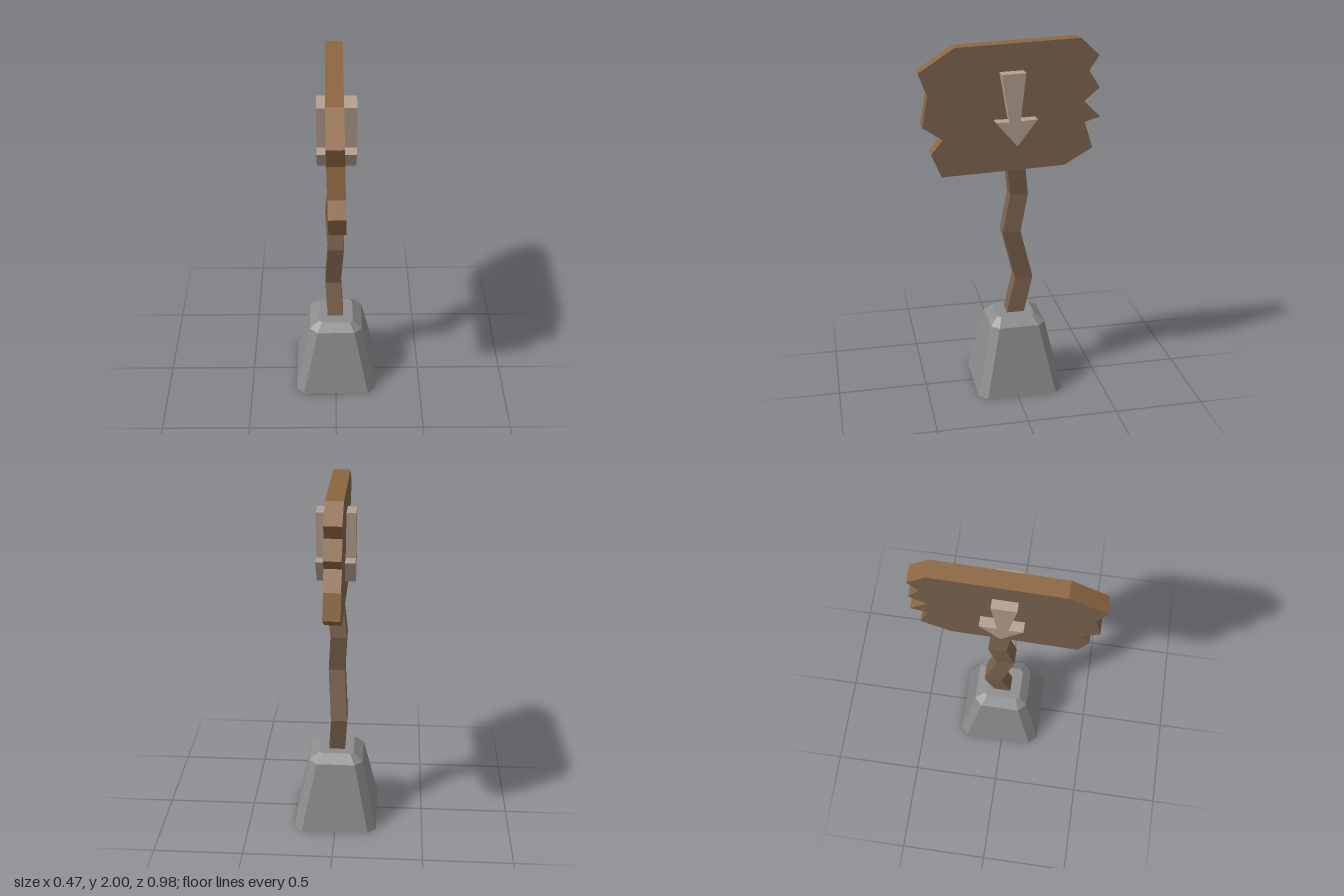
import * as THREE from 'three';

const material = (name, color) => {
  const m = new THREE.MeshStandardMaterial({ color, flatShading: true });
  m.name = name;
  return m;
};

// Joins horizontal loops of [x, y, z] points (anticlockwise from above) and caps both ends.
function loft(loops) {
  const pos = [];
  const tri = (a, b, c) => pos.push(...a, ...b, ...c);
  const n = loops[0].length;
  for (let k = 0; k < loops.length - 1; k++) {
    const a = loops[k], b = loops[k + 1];
    for (let i = 0; i < n; i++) {
      const j = (i + 1) % n;
      tri(a[i], a[j], b[j]);
      tri(a[i], b[j], b[i]);
    }
  }
  const bottom = loops[0], top = loops[loops.length - 1];
  for (let i = 1; i < n - 1; i++) {
    tri(bottom[0], bottom[i + 1], bottom[i]);
    tri(top[0], top[i], top[i + 1]);
  }
  const g = new THREE.BufferGeometry();
  g.setAttribute('position', new THREE.Float32BufferAttribute(pos, 3));
  g.computeVertexNormals();
  return g;
}

// Rectangle with cut corners, half sizes w and d, centred at depth cz.
const octagon = (y, w, d, cut, cz) => [
  [w, d - cut], [w, -d + cut], [w - cut, -d], [-w + cut, -d],
  [-w, -d + cut], [-w, d - cut], [-w + cut, d], [w - cut, d],
].map(([x, z]) => [x, y, cz + z]);

// Square section of the post.
const square = ([x, y, z]) =>
  [[1, 1], [1, -1], [-1, -1], [-1, 1]].map(([i, k]) => [x + i * 0.045, y, z + k * 0.05]);

// Extrudes a side outline of [z, y] points along x, centred on x = 0.
function plate(outline, thickness, originY) {
  const shape = new THREE.Shape(outline.map(([z, y]) => new THREE.Vector2(-z, y - originY)));
  const g = new THREE.ExtrudeGeometry(shape, { depth: thickness, bevelEnabled: false });
  return g.translate(0, 0, -thickness / 2).rotateY(Math.PI / 2);
}

export function createModel() {
  const model = new THREE.Group();
  model.name = 'signpost';
  const stone = material('stone grey', 0x8c8c8c);
  const wood = material('weathered wood', 0x7d6550);
  const cutWood = material('cut wood', 0x8c6640);
  const paleWood = material('pale wood', 0xb5a090);

  const add = (name, geometry, mat) => {
    const mesh = new THREE.Mesh(geometry, mat);
    mesh.name = name;
    model.add(mesh);
    return mesh;
  };

  // Tapered stone foot with a bevelled top
  add('base', loft([
    octagon(0, 0.236, 0.244, 0.046, -0.022),
    octagon(0.397, 0.152, 0.156, 0.044, -0.022),
    octagon(0.44, 0.098, 0.106, 0.018, -0.018),
  ]), stone);

  // Crooked post
  add('post', loft([
    [0, 0.4, -0.012], [-0.016, 0.65, -0.073], [0, 0.935, 0],
    [-0.013, 1.15, -0.043], [0.004, 1.3, -0.025],
  ].map(square)), wood);

  // Board with broken ends, leaning slightly
  const centreY = 1.64;
  const board = add('board', plate([
    [0.3, 1.973], [-0.373, 2], [-0.474, 1.905], [-0.42, 1.825], [-0.48, 1.73], [-0.395, 1.66],
    [-0.487, 1.57], [-0.4, 1.545], [-0.447, 1.4], [-0.29, 1.31], [0.384, 1.283], [0.437, 1.41],
    [0.373, 1.488], [0.48, 1.56], [0.447, 1.73], [0.492, 1.85],
  ], 0.092, centreY), [wood, cutWood]);
  board.position.set(-0.001, centreY, 0);
  board.rotation.z = 0.02;

  // Arrow standing out on both faces of the board
  const arrow = add('arrow', plate([
    [0.066, 1.839], [-0.063, 1.843], [-0.035, 1.588], [-0.127, 1.592],
    [-0.018, 1.449], [0.099, 1.585], [0.024, 1.585],
  ], 0.21, centreY), paleWood);
  arrow.position.set(0.004, centreY, 0);

  return model;
}
